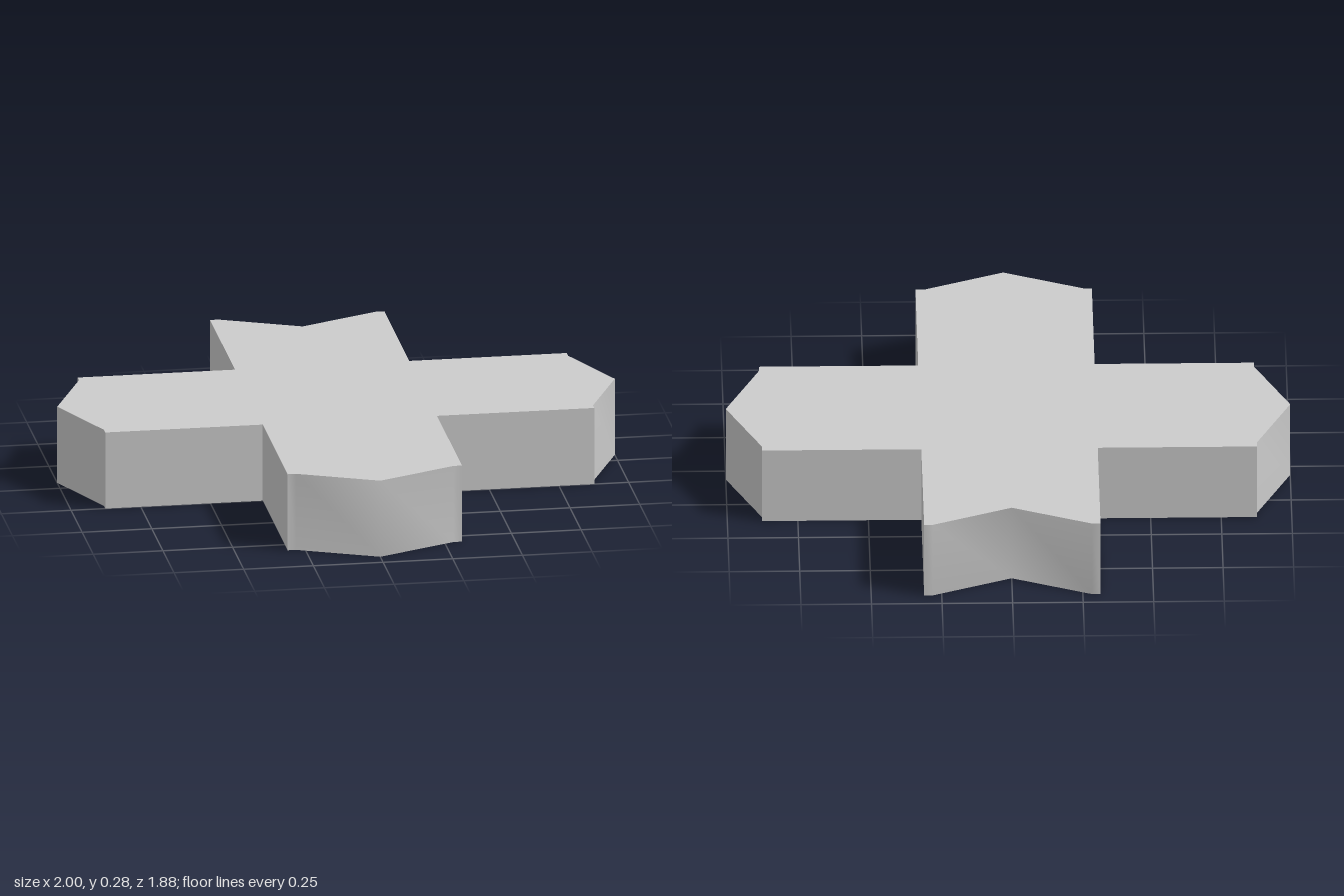
import * as THREE from 'three';
import { toCreasedNormals } from 'three/addons/utils/BufferGeometryUtils.js';

const HEIGHT = 0.284;
const HALF_WIDTH = 0.3125; // half the width of an arm
const REACH = 0.877;       // centre to the shoulders of an arm
const TIP = 0.123;         // how far a tip points out, or a notch cuts in
const LIP = 0.03;          // short flat beside each tip
const CENTRE_Z = -0.0625;

// Cross outline: right, back, left and front arms; only the back arm is notched
function crossShape() {
  const points = [];
  [1, -1, 1, 1].forEach((tipSign, i) => {
    const inner = HALF_WIDTH - LIP;
    const arm = [
      [HALF_WIDTH, -HALF_WIDTH],
      [REACH, -HALF_WIDTH],
      [REACH, -inner],
      [REACH + tipSign * TIP, 0],
      [REACH, inner],
      [REACH, HALF_WIDTH],
    ];
    for (const [x, y] of arm) {
      points.push(new THREE.Vector2(x, y).rotateAround(new THREE.Vector2(), i * Math.PI / 2));
    }
  });
  return new THREE.Shape(points);
}

export function createModel() {
  const group = new THREE.Group();
  group.name = 'crossTile';

  // Flat slab; the end faces are softly shaded, the square corners stay sharp
  const slab = new THREE.ExtrudeGeometry(crossShape(), { depth: HEIGHT, bevelEnabled: false });
  slab.rotateX(-Math.PI / 2);
  slab.translate(0, 0, CENTRE_Z);

  const tile = new THREE.Mesh(
    toCreasedNormals(slab, THREE.MathUtils.degToRad(55)),
    new THREE.MeshStandardMaterial({ color: 0xcccccc })
  );
  tile.name = 'crossSlab';
  group.add(tile);
  return group;
}
